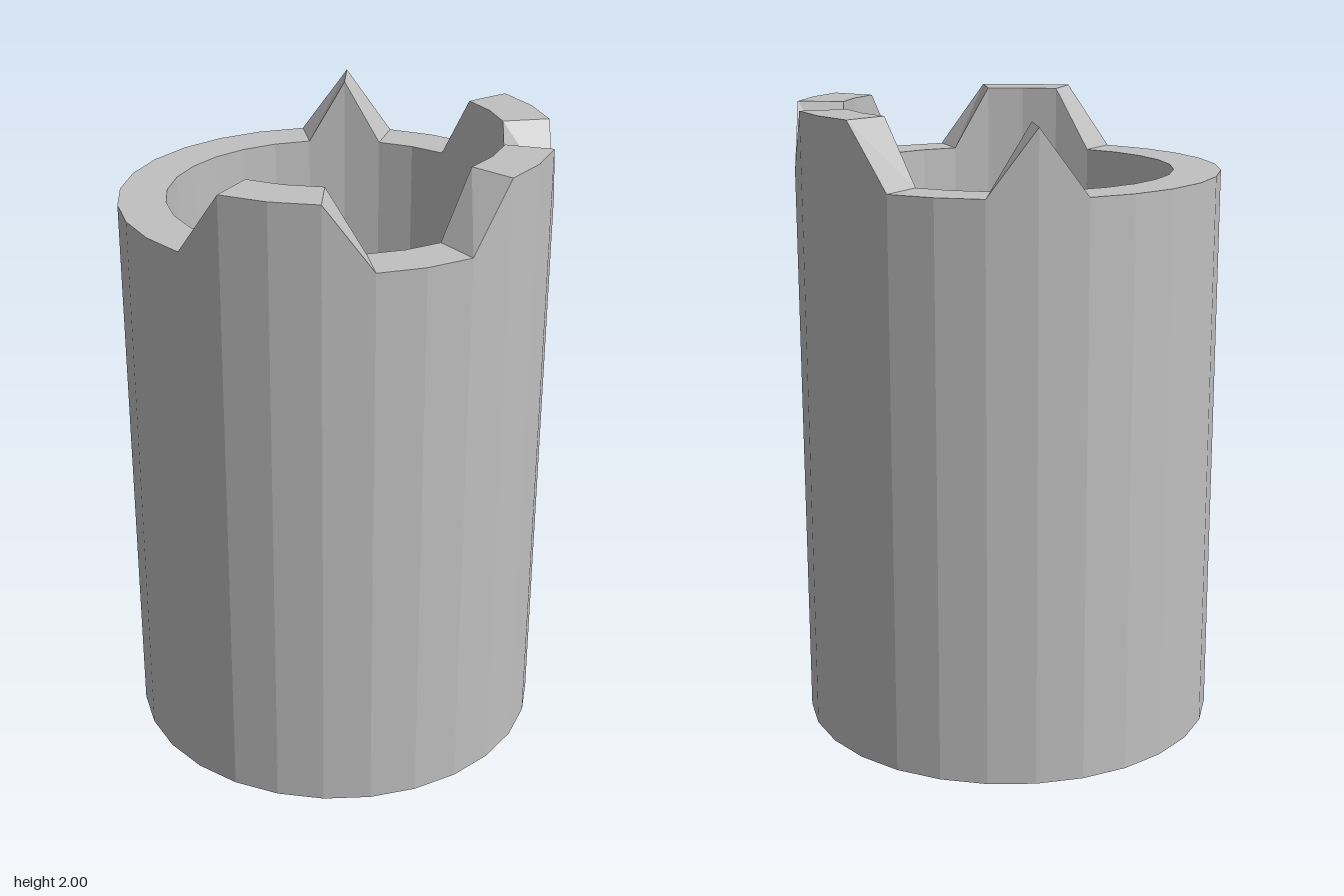
import * as THREE from 'three';

const SIDES = 28;
const OUTER = 0.667;
const INNER = 0.52;
const LOW = 1.8;
const HIGH = 2;
// rim corners raised into battlements, counted from the front towards +x
const RAISED = new Set([3, 4, 5, 7, 8, 9, 13, 25, 26, 27]);

const rimHeight = (i) => (RAISED.has(i % SIDES) ? HIGH : LOW);

function point(i, radius, y) {
  const a = (i / SIDES) * Math.PI * 2;
  return [radius * Math.sin(a), y, radius * Math.cos(a)];
}

// band of quads joining two rings; each ring gives the corner for index i
function band(name, ringA, ringB, material) {
  const pos = [];
  for (let i = 0; i < SIDES; i++) {
    const a = ringA(i), b = ringA(i + 1), c = ringB(i + 1), d = ringB(i);
    pos.push(...a, ...b, ...c, ...a, ...c, ...d);
  }
  const geometry = new THREE.BufferGeometry();
  geometry.setAttribute('position', new THREE.Float32BufferAttribute(pos, 3));
  geometry.computeVertexNormals();
  const mesh = new THREE.Mesh(geometry, material);
  mesh.name = name;
  return mesh;
}

export function createModel() {
  const group = new THREE.Group();
  group.name = 'brokenTower';

  const stone = new THREE.MeshStandardMaterial({ color: 0xc0c0c0, flatShading: true });
  stone.name = 'grey stone';

  const outerBase = (i) => point(i, OUTER, 0);
  const outerRim = (i) => point(i, OUTER, rimHeight(i));
  const innerBase = (i) => point(i, INNER, 0);
  const innerRim = (i) => point(i, INNER, rimHeight(i));

  group.add(
    band('outerWall', outerBase, outerRim, stone),
    band('jaggedRim', outerRim, innerRim, stone),
    band('innerWall', innerRim, innerBase, stone),
    band('bottomRing', innerBase, outerBase, stone),
  );
  return group;
}
